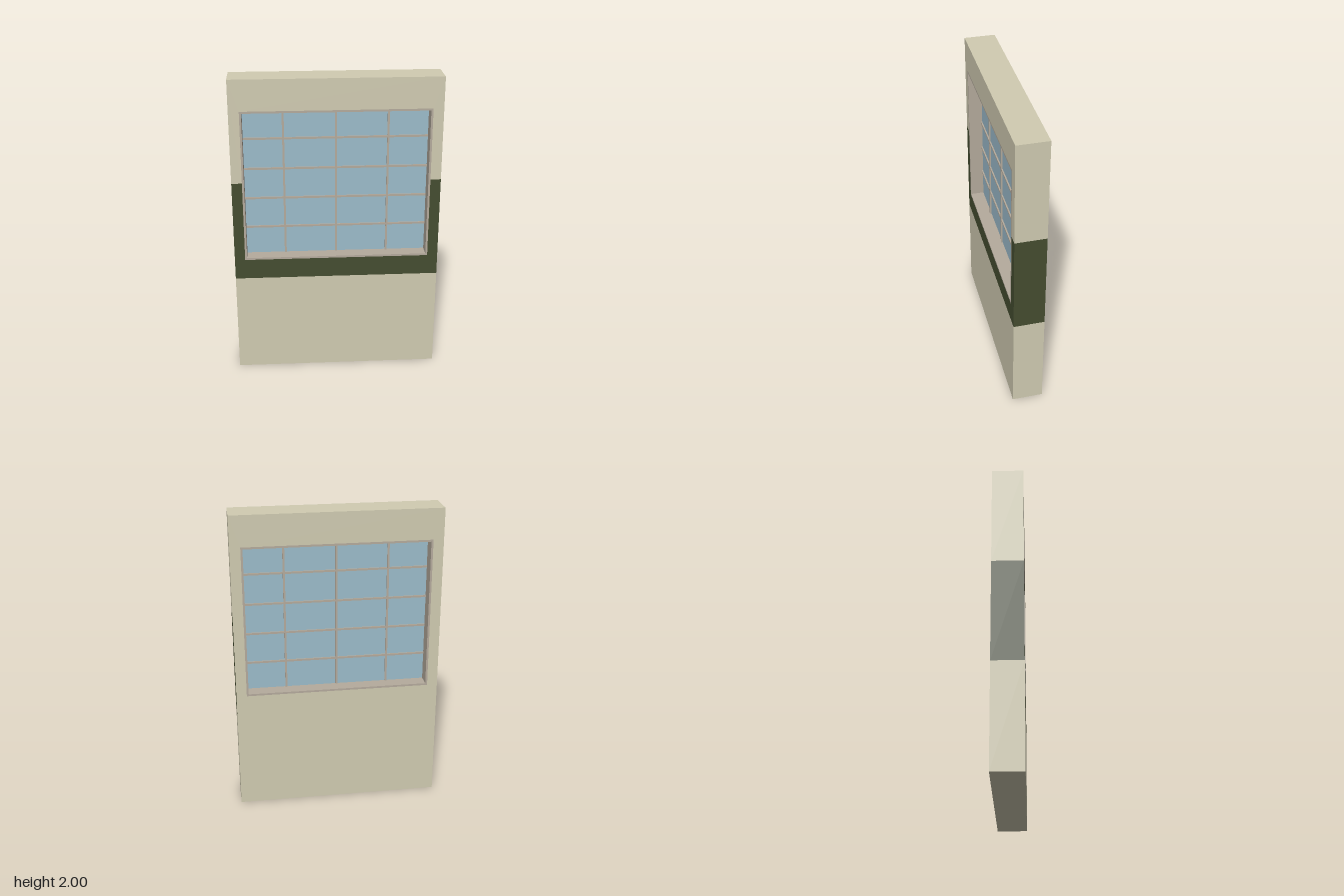
import * as THREE from 'three';

const W = 0.667, D = 0.1, H = 2;             // wall half width, half depth, height
const OX = 0.6, OY0 = 0.8, OY1 = 1.8;        // window opening
const B0 = 0.667, B1 = 1.333;                // painted band
const T = 0.013;                             // frame thickness

const mat = (color) => new THREE.MeshStandardMaterial({ color, roughness: 0.9 });

const polygon = (points) => points.map(([x, y]) => new THREE.Vector2(x, y));
const rect = (x, y0, y1) => polygon([[-x, y0], [x, y0], [x, y1], [-x, y1]]);

export function createModel() {
  const model = new THREE.Group();
  const cream = mat(0xd1ccb2), green = mat(0x454d30), trim = mat(0xb5ab9d), blue = mat(0x9cbccb);

  const add = (parent, name, geometry, material, x = 0, y = 0, z = 0) => {
    const mesh = new THREE.Mesh(geometry, material);
    mesh.name = name;
    mesh.position.set(x, y, z);
    parent.add(mesh);
    return mesh;
  };
  const group = (name) => {
    const g = new THREE.Group();
    g.name = name;
    model.add(g);
    return g;
  };

  // Wall front: plain base, band stepping round the window, plain top
  const wall = group('wall');
  const face = (points) => new THREE.ShapeGeometry(new THREE.Shape(points));
  add(wall, 'frontBase', face(rect(W, 0, B0)), cream, 0, 0, D);
  add(wall, 'frontBand', face(polygon([
    [-W, B0], [W, B0], [W, B1], [OX, B1], [OX, OY0], [-OX, OY0], [-OX, B1], [-W, B1],
  ])), green, 0, 0, D);
  add(wall, 'frontTop', face(polygon([
    [-W, B1], [-OX, B1], [-OX, OY1], [OX, OY1], [OX, B1], [W, B1], [W, H], [-W, H],
  ])), cream, 0, 0, D);

  // Wall back: one colour, with the opening cut out
  const backShape = new THREE.Shape(rect(W, 0, H));
  backShape.holes.push(new THREE.Path(rect(OX, OY0, OY1)));
  add(wall, 'back', new THREE.ShapeGeometry(backShape), cream, 0, 0, -D).rotation.y = Math.PI;

  // Wall ends, with the band carried round
  for (const side of [-1, 1]) {
    for (const [y0, y1, m] of [[0, B0, cream], [B0, B1, green], [B1, H, cream]]) {
      add(wall, 'wallEnd', new THREE.PlaneGeometry(2 * D, y1 - y0), m, side * W, (y0 + y1) / 2, 0)
        .rotation.y = side * Math.PI / 2;
    }
  }
  const cap = new THREE.PlaneGeometry(2 * W, 2 * D);
  add(wall, 'wallTop', cap, cream, 0, H, 0).rotation.x = -Math.PI / 2;
  add(wall, 'wallBottom', cap, cream, 0, 0, 0).rotation.x = Math.PI / 2;

  // Window frame lining the full depth of the opening
  const win = group('window');
  const frameShape = new THREE.Shape(rect(OX, OY0, OY1));
  frameShape.holes.push(new THREE.Path(rect(OX - T, OY0 + T, OY1 - T)));
  add(win, 'frame', new THREE.ExtrudeGeometry(frameShape, { depth: 2 * D, bevelEnabled: false }), trim, 0, 0, -D);

  // Glass and glazing bars
  const gw = 2 * (OX - T), gh = OY1 - OY0 - 2 * T, cy = (OY0 + OY1) / 2;
  add(win, 'glass', new THREE.BoxGeometry(gw, gh, 0.02), blue, 0, cy, 0);
  for (const x of [-0.333, 0, 0.333]) {
    add(win, 'verticalBar', new THREE.BoxGeometry(T, gh, 0.04), trim, x, cy, 0);
  }
  for (const y of [1, 1.2, 1.4, 1.6]) {
    add(win, 'horizontalBar', new THREE.BoxGeometry(gw, T, 0.038), trim, 0, y, 0);
  }
  return model;
}
